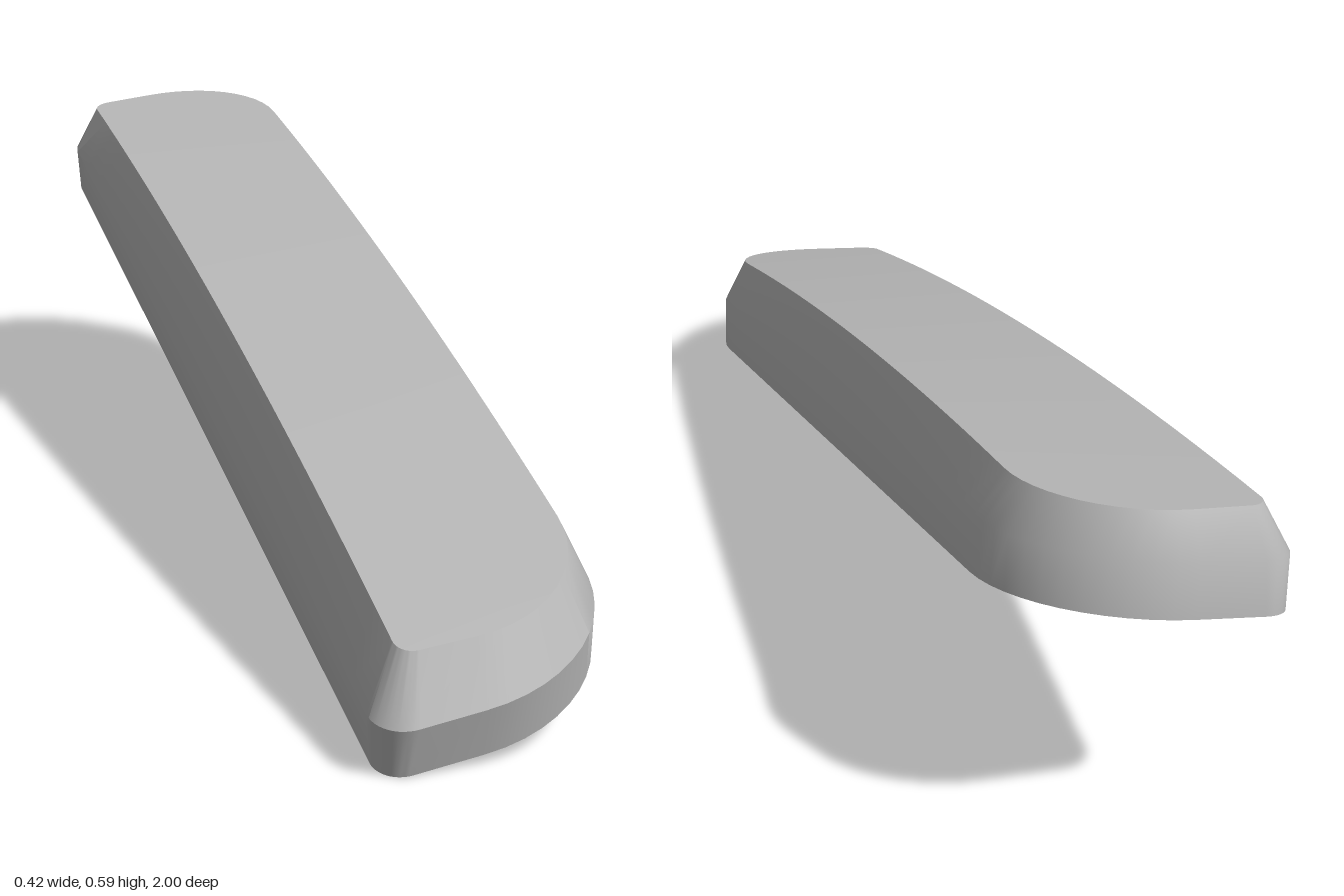
import * as THREE from 'three';
import { toCreasedNormals } from 'three/addons/utils/BufferGeometryUtils.js';

const CORNER = 12, SIDE = 24;

// Heights of the tilted underside plane and the gently arched top
const baseHeight = (x, z) => 0.2 - 0.21 * z + 0.15 * (x + 0.2);
const beltHeight = (x, z) => baseHeight(x, z) + 0.09;
const topHeight = (x, z) => 0.419 - 0.2026 * z - 0.0427 * z * z + 0.11 * (x + 0.168);

// One long side of the outline with its two rounded corners, front to back
function halfOutline(edgeX, sign, front, back, radius, height) {
  const points = [];
  const cx = edgeX - sign * radius;
  const add = (x, z) => points.push(new THREE.Vector3(x, height(x, z), z));
  for (let i = 0; i <= CORNER; i++) {
    const a = (i / CORNER) * Math.PI / 2;
    add(cx + sign * radius * Math.sin(a), front - radius + radius * Math.cos(a));
  }
  for (let i = 1; i < SIDE; i++) {
    add(edgeX, THREE.MathUtils.lerp(front - radius, back + radius, i / SIDE));
  }
  for (let i = 0; i <= CORNER; i++) {
    const a = (i / CORNER) * Math.PI / 2;
    add(cx + sign * radius * Math.cos(a), back + radius - radius * Math.sin(a));
  }
  return points;
}

function section(x0, x1, back, front, leftRadius, rightRadius, height) {
  const low = halfOutline(x0, -1, front, back, leftRadius, height);
  const high = halfOutline(x1, 1, front, back, rightRadius, height);
  return { low, high, ring: [...high, ...[...low].reverse()] };
}

function quad(out, a, b, c, d) {
  for (const p of [a, b, c, a, c, d]) out.push(p.x, p.y, p.z);
}

function geometryFrom(positions) {
  const geometry = new THREE.BufferGeometry();
  geometry.setAttribute('position', new THREE.Float32BufferAttribute(positions, 3));
  geometry.computeVertexNormals();
  return toCreasedNormals(geometry, 0.55);
}

// Cap made of strips running across the section
function cap({ low, high }, facingUp) {
  const out = [];
  for (let i = 0; i < low.length - 1; i++) {
    if (facingUp) quad(out, low[i], high[i], high[i + 1], low[i + 1]);
    else quad(out, low[i], low[i + 1], high[i + 1], high[i]);
  }
  return geometryFrom(out);
}

// Wall lofted through stacked sections
function wall(sections) {
  const out = [];
  for (let s = 0; s < sections.length - 1; s++) {
    const a = sections[s].ring, b = sections[s + 1].ring;
    for (let i = 0; i < a.length; i++) {
      const j = (i + 1) % a.length;
      quad(out, a[i], a[j], b[j], b[i]);
    }
  }
  return geometryFrom(out);
}

export function createModel() {
  const group = new THREE.Group();
  group.name = 'slopedPad';
  const grey = new THREE.MeshStandardMaterial({ color: 0xb8b8b8 });
  grey.name = 'grey';

  const base = section(-0.2, 0.209, -1.0, 0.975, 0.05, 0.25, baseHeight);
  const belt = section(-0.21, 0.2, -0.99, 1.0, 0.06, 0.25, beltHeight);
  const top = section(-0.168, 0.157, -0.955, 0.957, 0.03, 0.205, topHeight);

  const parts = {
    underside: cap(base, false),
    bevelledWall: wall([base, belt, top]),
    archedTop: cap(top, true),
  };
  for (const [name, geometry] of Object.entries(parts)) {
    const mesh = new THREE.Mesh(geometry, grey);
    mesh.name = name;
    group.add(mesh);
  }
  return group;
}
